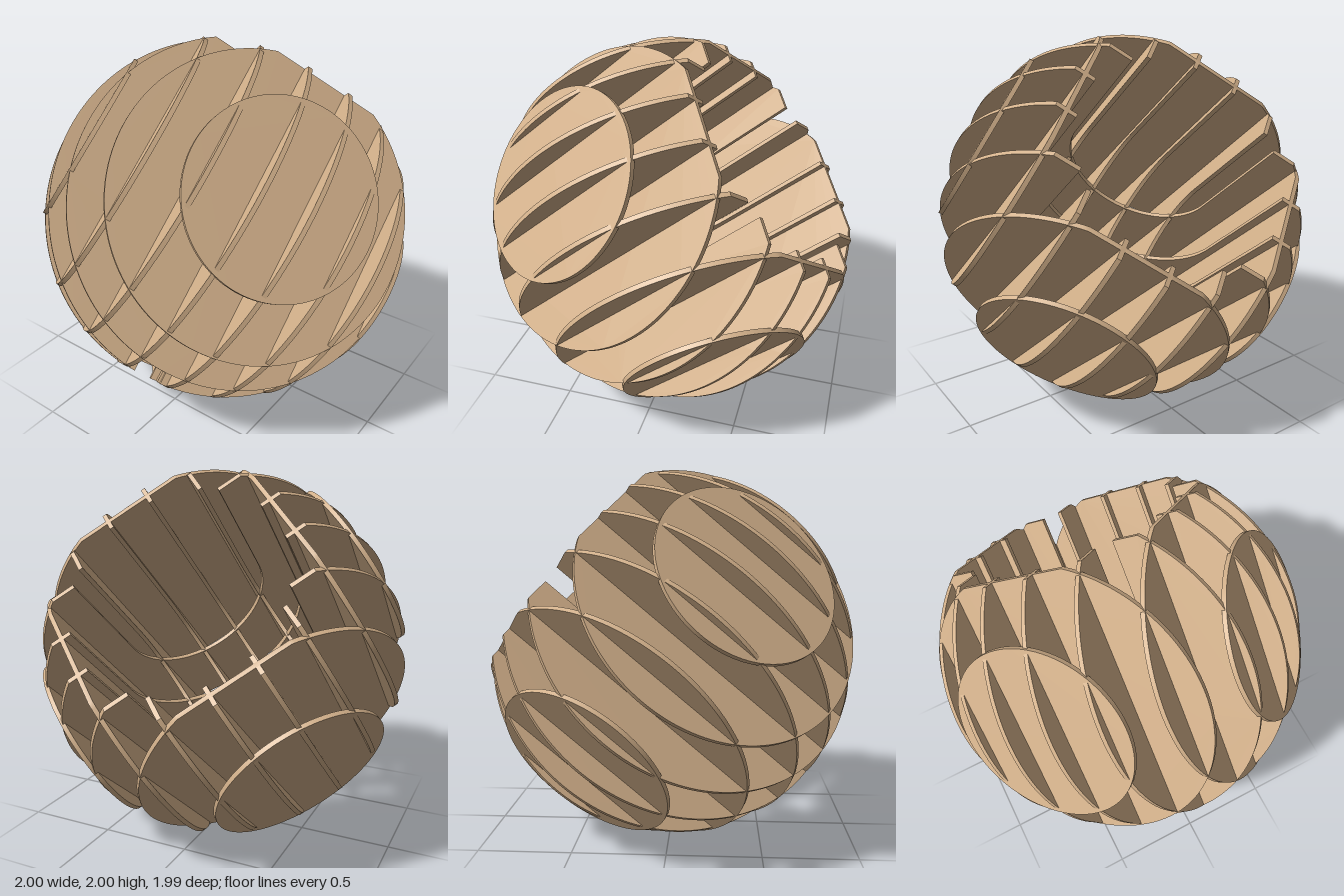
import * as THREE from 'three';
import { toCreasedNormals } from 'three/addons/utils/BufferGeometryUtils.js';

const RADIUS = 1;        // outer ball
const CAVITY = 0.585;    // round-bottomed hollow
const HOLE = 0.147;      // small bore through the closed end
const RIM = 0.72;        // flat cut at the open end
const THICK = 0.024;

const chord = (r, d) => Math.sqrt(Math.max(0, r * r - d * d));

// points along a circle, angles measured from +x
function arc(r, from, to, n = 64) {
  return Array.from({ length: n + 1 }, (_, i) => {
    const t = from + (to - from) * i / n;
    return new THREE.Vector2(r * Math.cos(t), r * Math.sin(t));
  });
}

// flat outlines of the slice lying at distance d from the ball's middle
function sliceOutlines(d) {
  const R = chord(RADIUS, d), w = chord(CAVITY, d), h = chord(HOLE, d);
  if (R <= RIM) return [arc(R, 0, Math.PI * 2, 128).slice(0, -1)];
  const top = Math.asin(RIM / R);
  // solid slice with a flat cut
  if (w === 0) return [arc(R, -Math.PI - top, top, 128)];
  // U-shaped slice around the hollow
  if (h === 0) {
    return [[...arc(R, -Math.PI - top, top, 128),
      new THREE.Vector2(w, RIM), ...arc(w, 0, -Math.PI),
      new THREE.Vector2(-w, RIM)]];
  }
  // two mirrored halves parted by the hollow and the bore
  const half = [...arc(R, -Math.acos(h / R), top, 80),
    new THREE.Vector2(w, RIM), ...arc(w, 0, -Math.acos(h / w), 48)];
  return [half, half.map(p => new THREE.Vector2(-p.x, p.y)).reverse()];
}

export function createModel() {
  const model = new THREE.Group();
  model.name = 'slicedBall';
  const wood = new THREE.MeshStandardMaterial({ color: 0xd2b08a });
  wood.name = 'tanWood';

  // the open end leans up and back
  const ball = new THREE.Group();
  ball.name = 'ball';
  ball.position.y = 1;
  ball.rotation.x = -THREE.MathUtils.degToRad(50);
  model.add(ball);

  // two families of parallel slices crossing at right angles
  for (const side of [1, -1]) {
    const family = new THREE.Group();
    family.name = side > 0 ? 'leftLeaningSlices' : 'rightLeaningSlices';
    family.rotation.y = side * Math.PI / 4;
    for (let i = 0; i < 8; i++) {
      const d = -0.875 + 0.25 * i;
      const shapes = sliceOutlines(Math.abs(d)).map(p => new THREE.Shape(p));
      const geo = new THREE.ExtrudeGeometry(shapes, { depth: THICK, bevelEnabled: false });
      geo.translate(0, 0, d - THICK / 2);
      const slice = new THREE.Mesh(toCreasedNormals(geo, 0.5), wood);
      slice.name = 'slice' + (i + 1);
      family.add(slice);
    }
    ball.add(family);
  }
  return model;
}
